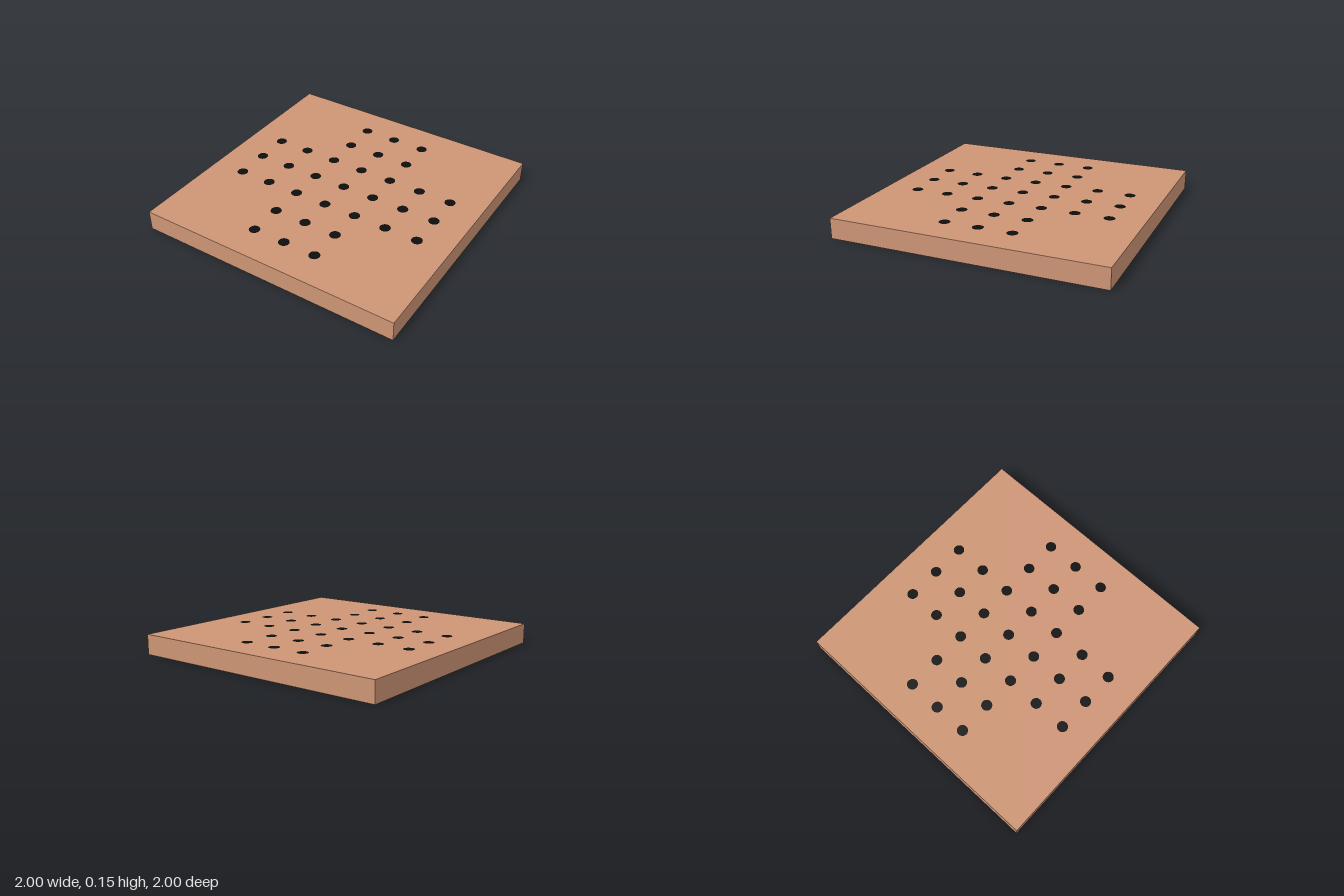
import * as THREE from 'three';

const SIZE = 2, HEIGHT = 0.15, SPACING = 0.25, RADIUS = 0.04;

export function createModel() {
  const model = new THREE.Group();
  model.name = 'pegBoard';

  // Square wooden slab
  const wood = new THREE.MeshStandardMaterial({ color: 0xcd9575 });
  const board = new THREE.Mesh(new THREE.BoxGeometry(SIZE, HEIGHT, SIZE), wood);
  board.name = 'board';
  board.position.y = HEIGHT / 2;
  model.add(board);

  // Dark round peg holes in a cross: a 7 x 7 grid without its 2 x 2 corners
  const dark = new THREE.MeshStandardMaterial({ color: 0x0d0d0d });
  const disc = new THREE.CircleGeometry(RADIUS, 32).rotateX(-Math.PI / 2);
  const holes = new THREE.Group();
  holes.name = 'pegHoles';
  for (let row = -3; row <= 3; row++) {
    for (let col = -3; col <= 3; col++) {
      if (Math.abs(row) > 1 && Math.abs(col) > 1) continue;
      const hole = new THREE.Mesh(disc, dark);
      hole.name = 'pegHole';
      hole.position.set(col * SPACING, HEIGHT + 0.001, row * SPACING);
      holes.add(hole);
    }
  }
  model.add(holes);

  return model;
}
